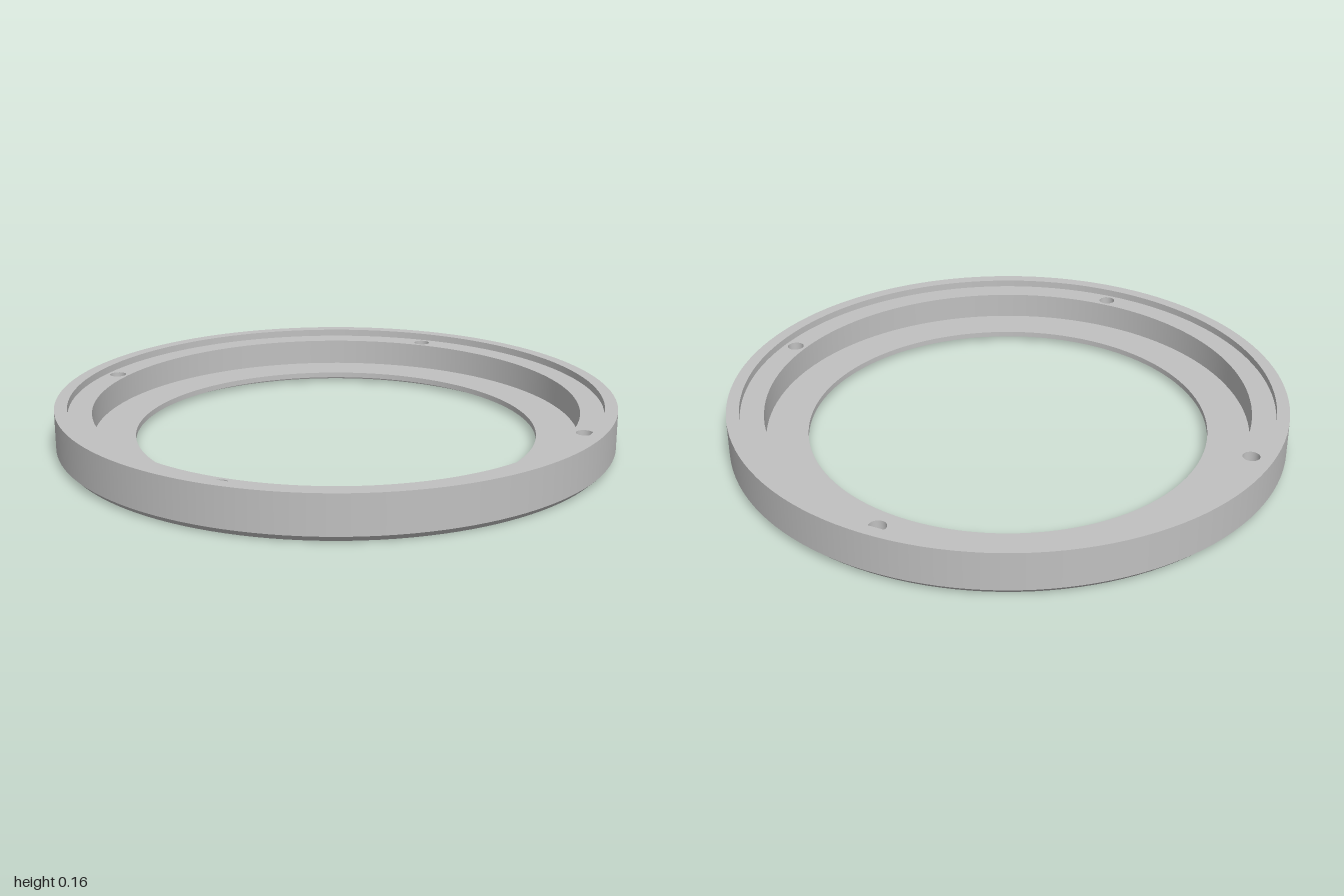
import * as THREE from 'three';
import { mergeGeometries } from 'three/addons/utils/BufferGeometryUtils.js';

const SEGMENTS = 128;
const LEDGE_Y = 0.134, LEDGE_IN = 0.87, LEDGE_OUT = 0.955;
const HOLE_R = 0.03, HOLE_FLOOR = 0.06, HOLE_POS = 0.645;

// Revolves each profile edge on its own, so corners stay crisp and rounds stay smooth
function turned(profile, segments) {
  const bands = [];
  for (let i = 0; i + 1 < profile.length; i++) {
    const edge = [profile[i], profile[i + 1]].map(([r, y]) => new THREE.Vector2(r, y));
    bands.push(new THREE.LatheGeometry(edge, segments));
  }
  return mergeGeometries(bands);
}

export function createModel() {
  const model = new THREE.Group();
  model.name = 'steppedRing';
  const metal = new THREE.MeshStandardMaterial({ color: 0xc0c0c0 });
  metal.name = 'grey metal';

  const add = (name, geometry, x = 0, z = 0) => {
    const mesh = new THREE.Mesh(geometry, metal);
    mesh.name = name;
    mesh.position.set(x, 0, z);
    model.add(mesh);
  };

  // Lower body: ledge wall, inner floor, bore, underside recess, chamfered outside, rim
  add('ringBody', turned([
    [LEDGE_IN, LEDGE_Y], [LEDGE_IN, 0.038], [0.72, 0.038], [0.72, 0.018],
    [0.757, 0.018], [0.767, 0], [0.978, 0], [1, 0.022],
    [1, 0.16], [LEDGE_OUT, 0.16], [LEDGE_OUT, LEDGE_Y],
  ], SEGMENTS));

  // Flat ledge pierced by four screw holes
  const corners = [[1, 1], [1, -1], [-1, 1], [-1, -1]].map(c => c.map(s => s * HOLE_POS));
  const ledge = new THREE.Shape().absarc(0, 0, LEDGE_OUT, 0, Math.PI * 2);
  ledge.holes.push(new THREE.Path().absarc(0, 0, LEDGE_IN, 0, Math.PI * 2, true));
  for (const [x, z] of corners) {
    ledge.holes.push(new THREE.Path().absarc(x, z, HOLE_R, 0, Math.PI * 2, true));
  }
  const ledgeGeometry = new THREE.ShapeGeometry(ledge, SEGMENTS / 2);
  ledgeGeometry.rotateX(-Math.PI / 2).translate(0, LEDGE_Y, 0);
  add('ledge', ledgeGeometry);

  // Blind screw holes
  const hole = turned([[HOLE_R, LEDGE_Y], [HOLE_R, HOLE_FLOOR], [0, HOLE_FLOOR]], 32);
  for (const [x, z] of corners) add('screwHole', hole, x, z);

  return model;
}
